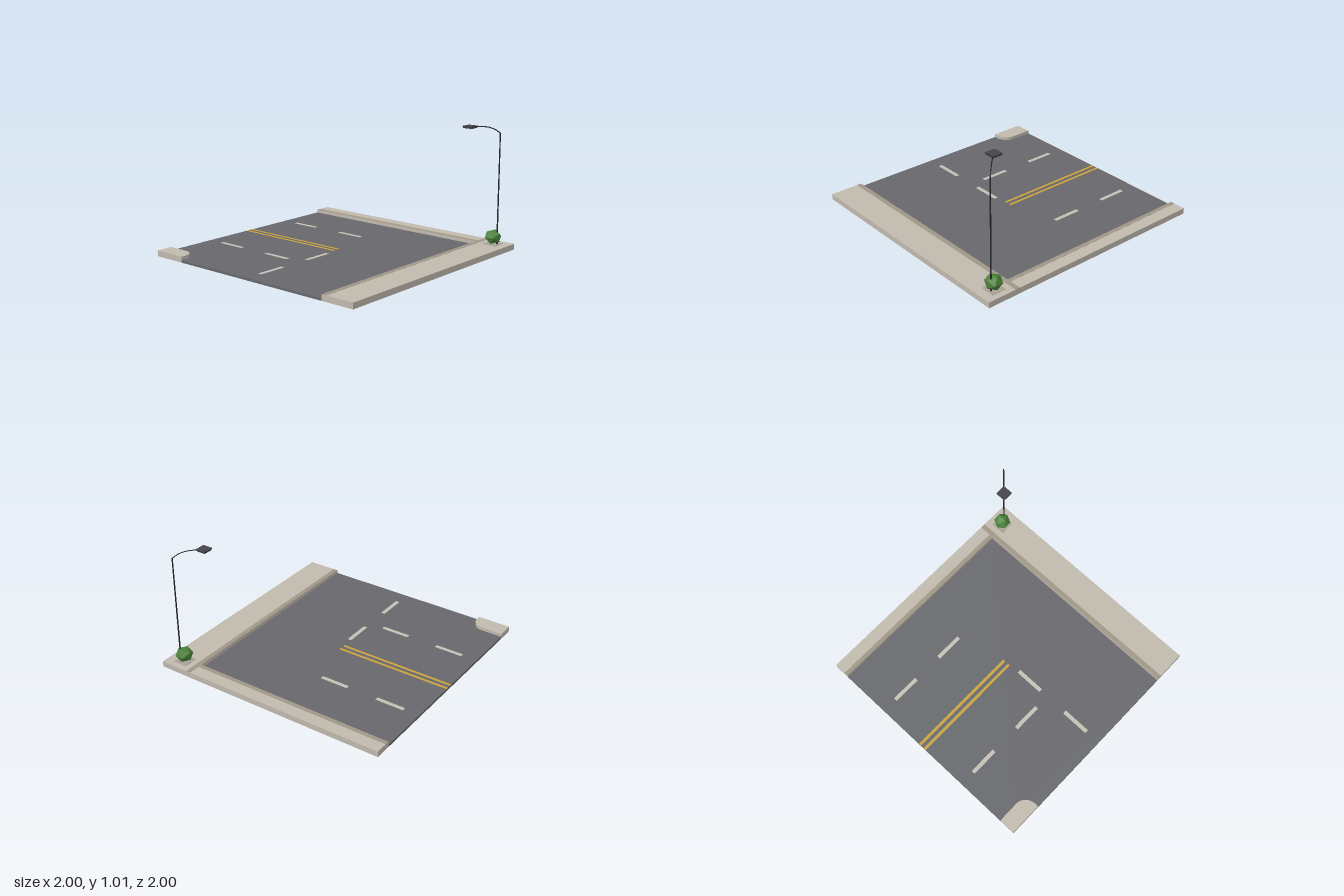
import * as THREE from 'three';

const mat = (name, color, extra = {}) => new THREE.MeshStandardMaterial({ name, color, ...extra });

export function createModel() {
  const model = new THREE.Group();
  model.name = 'streetJunctionTile';

  const asphalt = mat('asphalt', 0x67686c);
  const concrete = mat('concrete', 0xc0b9ad, { side: THREE.DoubleSide });
  const kerbStone = mat('kerbStone', 0x9f9686);
  const pitStone = mat('pitStone', 0xa8a095);
  const whitePaint = mat('whitePaint', 0xc3bfb4);
  const yellowPaint = mat('yellowPaint', 0xcba23c);
  const poleMetal = mat('poleMetal', 0x26262a);
  const headMetal = mat('headMetal', 0x434349);
  const leaf = mat('leaf', 0x4a8239, { flatShading: true });

  const ROAD = 0.02, WALK = 0.047, KX = 0.72, KZ = -0.865;

  const add = (name, geometry, material, parent = model) => {
    const mesh = new THREE.Mesh(geometry, material);
    mesh.name = name;
    parent.add(mesh);
    return mesh;
  };

  // Box given by its bounds
  const block = (name, [x0, x1], [y0, y1], [z0, z1], material, parent) => {
    const g = new THREE.BoxGeometry(x1 - x0, y1 - y0, z1 - z0);
    g.translate((x0 + x1) / 2, (y0 + y1) / 2, (z0 + z1) / 2);
    return add(name, g, material, parent);
  };

  // Footprint in x/z raised to a height
  const raise = (points, height) => {
    const shape = new THREE.Shape(points.map(([x, z]) => new THREE.Vector2(x, -z)));
    return new THREE.ExtrudeGeometry(shape, { depth: height, bevelEnabled: false }).rotateX(-Math.PI / 2);
  };

  // Same, with the underside left open
  const shell = (points, height) => {
    const g = raise(points, height);
    const p = g.attributes.position, n = g.attributes.normal;
    const pos = [], nor = [];
    for (let i = 0; i < p.count; i += 3) {
      if (n.getY(i) < -0.5) continue;
      for (let k = i; k < i + 3; k++) {
        pos.push(p.getX(k), p.getY(k), p.getZ(k));
        nor.push(n.getX(k), n.getY(k), n.getZ(k));
      }
    }
    const out = new THREE.BufferGeometry();
    out.setAttribute('position', new THREE.Float32BufferAttribute(pos, 3));
    out.setAttribute('normal', new THREE.Float32BufferAttribute(nor, 3));
    return out;
  };

  // Rounded pavement corner outline, shared by the road cutout
  const corner = [[-1, 0.862]];
  for (let i = 0; i <= 8; i++) {
    const a = (i / 8) * Math.PI / 2;
    corner.push([-0.82 + 0.1 * Math.sin(a), 0.972 - 0.11 * Math.cos(a)]);
  }
  corner.push([-0.72, 1]);

  // Road slab
  const e = 0.001;
  add('road', raise([[-1, KZ + e], [KX - e, KZ + e], [KX - e, 1], ...corner.slice().reverse()], ROAD), asphalt);

  // Pavements
  add('pavement', shell([[-1, -1], [1, -1], [1, 1], [KX, 1], [KX, KZ], [-1, KZ]], WALK), concrete);
  add('cornerPavement', shell([...corner, [-1, 1]], WALK), concrete);

  // Kerb strips
  block('sideKerb', [KX, 0.76], [WALK, WALK + e], [-1, 1], kerbStone);
  block('backKerb', [-1, KX], [WALK, WALK + e], [-0.9, KZ], kerbStone);

  // Road markings
  const paint = [ROAD, ROAD + 0.0015];
  for (const z of [-0.442, 0.438])
    for (const x of [-0.75, -0.25])
      block('laneDash', [x - 0.12, x + 0.12], paint, [z - 0.016, z + 0.016], whitePaint);
  for (const z of [0.245, 0.75])
    block('crossDash', [-0.019, 0.014], paint, [z - 0.12, z + 0.12], whitePaint);
  for (const z of [-0.029, 0.024])
    block('centreLine', [-1, -0.018], paint, [z - 0.011, z + 0.011], yellowPaint);

  // Planter and bush
  block('planter', [0.807, 0.927], [0.04, WALK + 0.002], [-0.95, -0.83], pitStone);
  const bush = add('bush', new THREE.IcosahedronGeometry(0.071, 0), leaf);
  bush.rotation.y = Math.PI / 2;
  bush.scale.y = 0.87;
  bush.position.set(0.868, 0.106, -0.89);

  // Street lamp, arm reaching diagonally over the road
  const lamp = new THREE.Group();
  lamp.name = 'streetLamp';
  model.add(lamp);
  add('lampPole', new THREE.CylinderGeometry(0.005, 0.006, 0.905, 8), poleMetal, lamp)
    .position.set(0.9, 0.4975, -0.9);
  add('lampFoot', new THREE.CylinderGeometry(0.008, 0.008, 0.02, 8), poleMetal, lamp)
    .position.set(0.9, 0.055, -0.9);
  const bend = [[0.9, 0.945], [0.87, 0.975], [0.83, 0.994], [0.79, 0.999], [0.74, 0.998]];
  const arm = new THREE.CatmullRomCurve3(bend.map(([d, y]) => new THREE.Vector3(d, y, -d)));
  add('lampArm', new THREE.TubeGeometry(arm, 12, 0.0042, 6), poleMetal, lamp);

  // Lamp head, narrower at its underside
  const head = new THREE.BoxGeometry(0.087, 0.018, 0.087);
  const hp = head.attributes.position;
  for (let i = 0; i < hp.count; i++)
    if (hp.getY(i) < 0) hp.setXYZ(i, hp.getX(i) * 0.88, hp.getY(i), hp.getZ(i) * 0.88);
  head.computeVertexNormals();
  add('lampHead', head, headMetal, lamp).position.set(0.729, 0.997, -0.732);

  return model;
}
